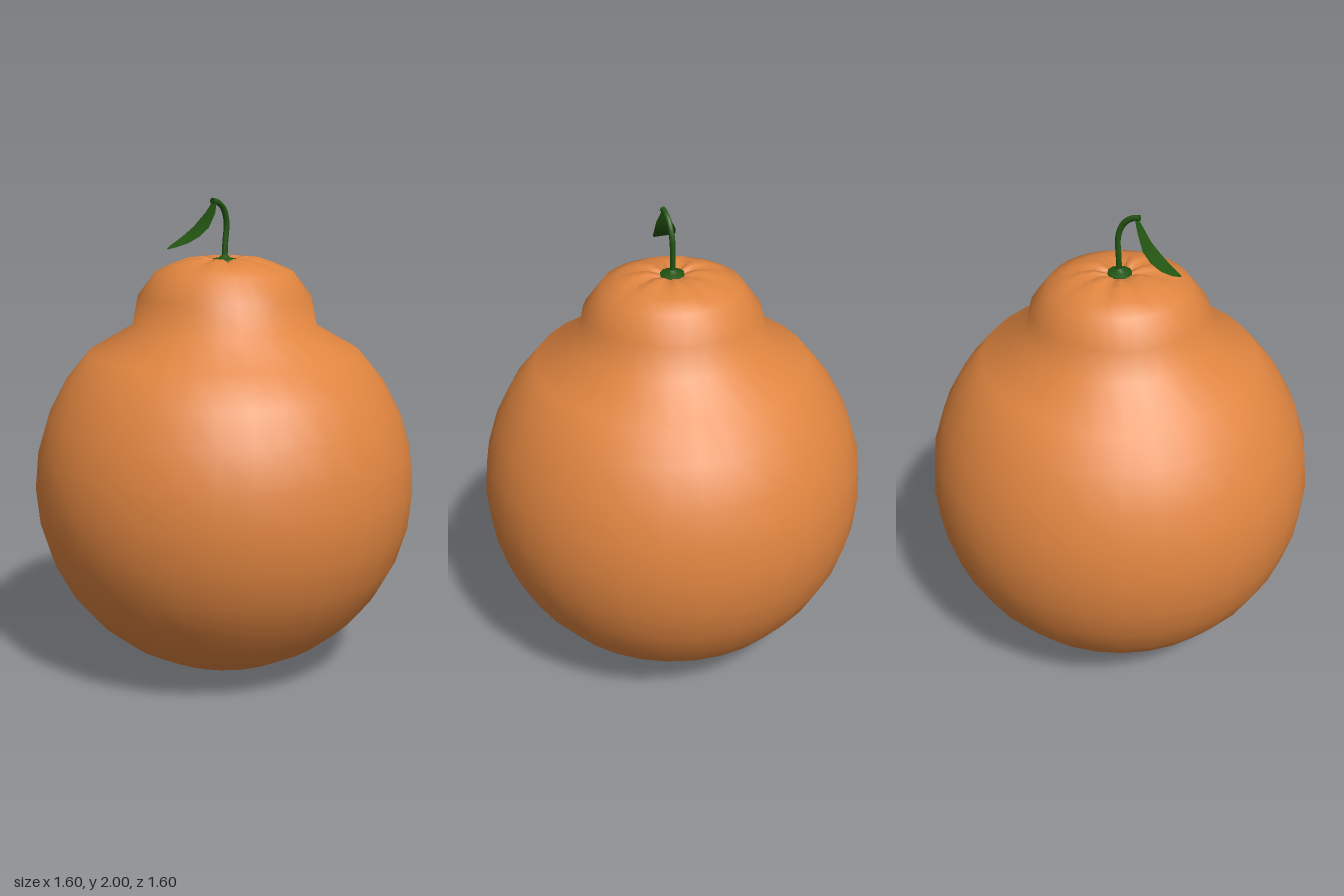
import * as THREE from 'three';
import { mergeVertices } from 'three/addons/utils/BufferGeometryUtils.js';

const SIDES = 32;
const v2 = (x, y) => new THREE.Vector2(x, y);

// Weld the seam so that the shading runs smoothly around
function smooth(geometry) {
  geometry.deleteAttribute('uv');
  geometry.deleteAttribute('normal');
  const welded = mergeVertices(geometry, 1e-4);
  welded.computeVertexNormals();
  return welded;
}

// Round body, raised neck and dimpled, creased crown
function fruitGeometry() {
  const profile = [];
  for (let i = 0; i <= 12; i++) {
    const a = (i / 16) * Math.PI;
    profile.push(v2(0.8 * Math.sin(a), 0.805 - 0.8 * Math.cos(a)));
  }
  profile.push(
    v2(0.385, 1.475), v2(0.36, 1.6), v2(0.285, 1.7), v2(0.215, 1.732),
    v2(0.155, 1.752), v2(0.1, 1.758), v2(0.06, 1.748), v2(0.03, 1.738), v2(0, 1.735)
  );
  const geometry = new THREE.LatheGeometry(profile, SIDES);

  // Press uneven creases into the crown, fading toward the rim
  const creases = { 1: 1, 5: 0.8, 9: 1, 13: 0.7, 17: 0.9, 20: 0.7, 24: 1, 28: 0.9 };
  const p = geometry.attributes.position;
  for (let i = 0; i < p.count; i++) {
    const x = p.getX(i), y = p.getY(i), z = p.getZ(i);
    const r = Math.hypot(x, z);
    if (y < 1.65 || r < 0.02 || r > 0.26) continue;
    const turn = Math.atan2(x, z) / (Math.PI * 2);
    const side = (Math.round(turn * SIDES) + SIDES) % SIDES;
    const fade = Math.min(1, r / 0.06) * Math.min(1, (0.26 - r) / 0.16);
    p.setY(i, y - 0.024 * (creases[side] || 0) * fade);
  }
  return smooth(geometry);
}

// Curved leaf from cross-sections: left x, right x, y, z
function leafGeometry() {
  const sections = [
    [0.0, 0.02, 1.992, 0.06], [-0.025, 0.035, 1.94, 0.083],
    [-0.058, 0.034, 1.885, 0.117], [-0.074, 0.024, 1.852, 0.155],
    [-0.078, 0.004, 1.826, 0.2], [-0.068, -0.02, 1.811, 0.24],
    [-0.05, -0.04, 1.803, 0.27]
  ];
  const vertices = [], indices = [];
  sections.forEach(([left, right, y, z], i) => {
    vertices.push(left, y, z, right, y, z);
    if (i) {
      const a = 2 * i - 2;
      indices.push(a, a + 2, a + 1, a + 1, a + 2, a + 3);
    }
  });
  const geometry = new THREE.BufferGeometry();
  geometry.setAttribute('position', new THREE.Float32BufferAttribute(vertices, 3));
  geometry.setIndex(indices);
  geometry.computeVertexNormals();
  return geometry;
}

export function createModel() {
  const model = new THREE.Group();
  const peel = new THREE.MeshStandardMaterial({ color: 0xe08540 });
  peel.name = 'orangePeel';
  const green = new THREE.MeshStandardMaterial({ color: 0x235412, side: THREE.DoubleSide });
  green.name = 'leafGreen';

  const add = (name, geometry, material) => {
    const mesh = new THREE.Mesh(geometry, material);
    mesh.name = name;
    model.add(mesh);
  };

  add('fruit', fruitGeometry(), peel);

  // Small flared cap where the stem meets the fruit
  const calyx = [v2(0.05, 1.742), v2(0.048, 1.752), v2(0.03, 1.75), v2(0.015, 1.765), v2(0, 1.77)];
  add('calyx', smooth(new THREE.LatheGeometry(calyx, 12)), green);

  // Hooked stem with a closed tip
  const path = new THREE.CatmullRomCurve3([
    [0, 1.735, 0], [0, 1.82, -0.005], [0.004, 1.9, -0.008],
    [0.008, 1.955, 0.012], [0.01, 1.982, 0.045], [0.01, 1.99, 0.078]
  ].map((c) => new THREE.Vector3(...c)));
  add('stem', new THREE.TubeGeometry(path, 20, 0.012, 8), green);
  const tip = new THREE.CircleGeometry(0.012, 8);
  tip.translate(0.01, 1.988, 0.078);
  add('stemTip', tip, green);

  add('leaf', leafGeometry(), green);
  return model;
}
